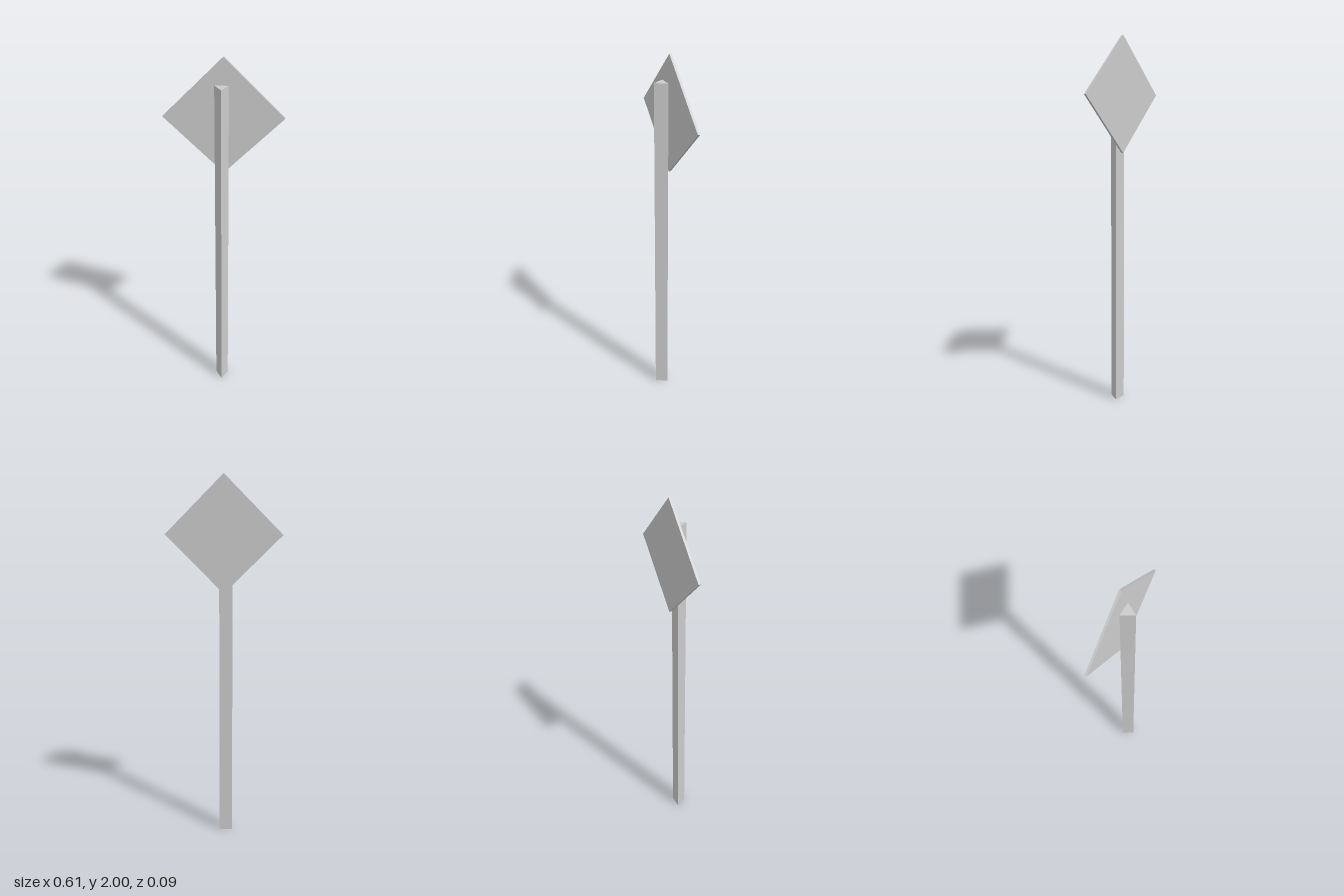
import * as THREE from 'three';

export function createModel() {
  const model = new THREE.Group();
  const material = new THREE.MeshStandardMaterial({ color: 0xcccccc, flatShading: true });

  function addPart(name, geometry, x, y, z) {
    const mesh = new THREE.Mesh(geometry, material);
    mesh.name = name;
    mesh.position.set(x, y, z);
    model.add(mesh);
    return mesh;
  }

  // Three-sided post, one edge facing the front
  const postHeight = 1.865;
  const postRadius = 0.041;
  addPart('post', new THREE.CylinderGeometry(postRadius, postRadius, postHeight, 3), -0.01, postHeight / 2, 0.003);

  // Thin square sign plate standing on its corner, just behind the post
  const halfDiagonal = 0.305;
  const side = halfDiagonal * Math.SQRT2;
  const plate = addPart('signPlate', new THREE.BoxGeometry(side, side, 0.012), 0, 2 - halfDiagonal, -0.039);
  plate.rotation.z = Math.PI / 4;

  return model;
}
